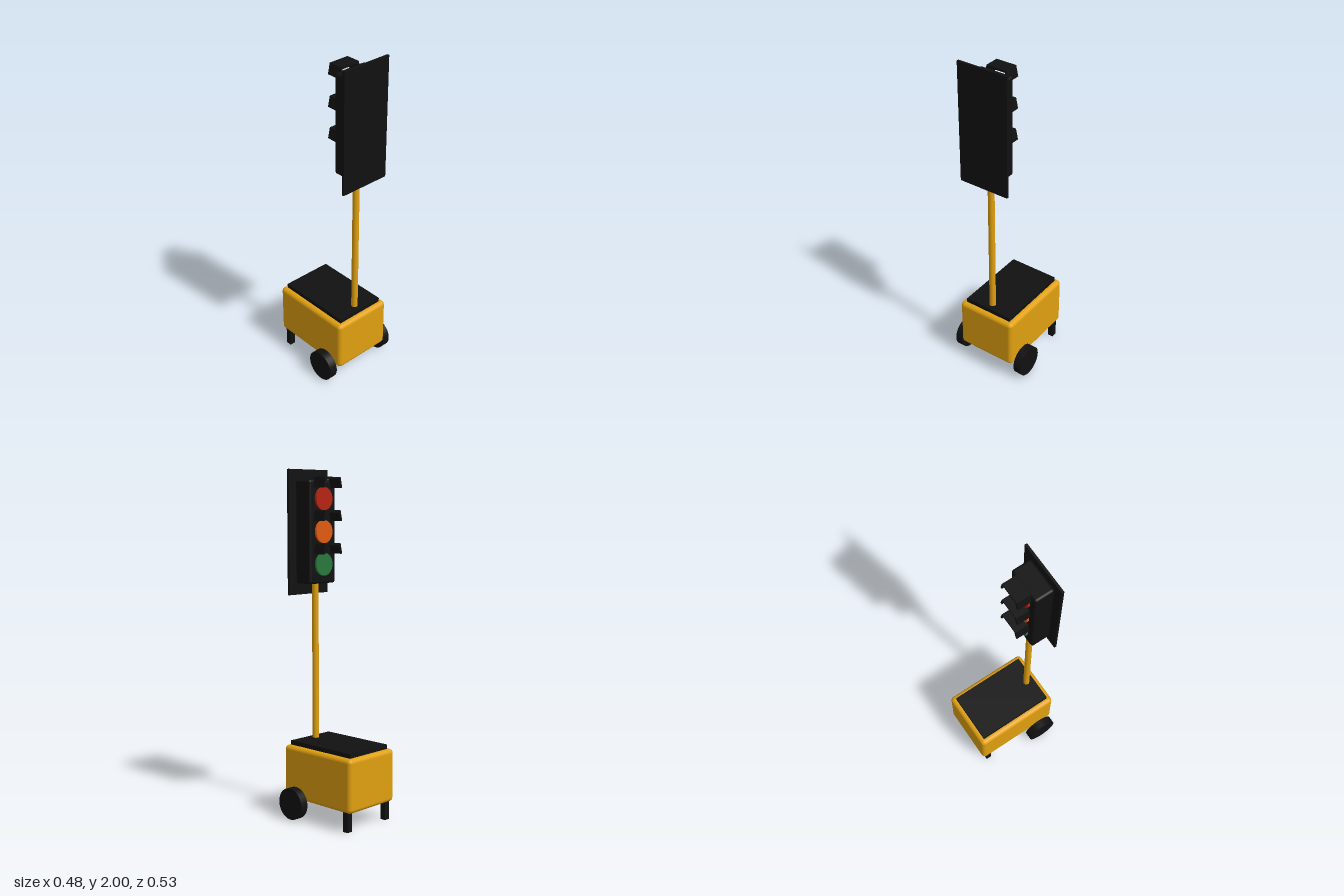
import * as THREE from 'three';
import { RoundedBoxGeometry } from 'three/addons/geometries/RoundedBoxGeometry.js';

const mat = (name, color) => {
  const m = new THREE.MeshStandardMaterial({ color });
  m.name = name;
  return m;
};

export function createModel() {
  const yellow = mat('yellow paint', 0xe0a010);
  const black = mat('black', 0x111111);
  const red = mat('red lens', 0xb62412);
  const amber = mat('amber lens', 0xe25a12);
  const green = mat('green lens', 0x26783c);

  const model = new THREE.Group();
  model.name = 'portableTrafficLight';
  const add = (name, geometry, material, x, y, z) => {
    const mesh = new THREE.Mesh(geometry, material);
    mesh.name = name;
    mesh.position.set(x, y, z);
    model.add(mesh);
    return mesh;
  };

  // Trailer box with lid
  add('body', new RoundedBoxGeometry(0.372, 0.31, 0.527, 4, 0.025), yellow, 0, 0.265, 0);
  add('lid', new THREE.BoxGeometry(0.31, 0.03, 0.47), black, 0, 0.43, 0);

  // Wheels and support legs
  const wheel = new THREE.CylinderGeometry(0.092, 0.092, 0.049, 32).rotateZ(Math.PI / 2);
  const leg = new THREE.BoxGeometry(0.035, 0.13, 0.035);
  for (const side of [-1, 1]) {
    add('wheel', wheel, black, side * 0.2175, 0.097, 0.155);
    add('leg', leg, black, side * 0.157, 0.065, -0.217);
  }
  // Axle, tucked inside the body
  add('axle', new THREE.CylinderGeometry(0.012, 0.012, 0.4, 12).rotateZ(Math.PI / 2), black, 0, 0.125, 0.155);

  // Mast
  add('mast', new THREE.CylinderGeometry(0.019, 0.019, 0.96, 16), yellow, 0, 0.9, 0.188);

  // Signal head and backboard
  add('backboard', new THREE.BoxGeometry(0.31, 0.71, 0.014), black, 0, 1.645, 0.247);
  add('signalHead', new RoundedBoxGeometry(0.208, 0.585, 0.117, 3, 0.015), black, 0, 1.6475, 0.1835);

  // Hollow hood, open at the bottom and towards the road
  const arch = new THREE.Shape([
    [-0.075, 0], [-0.063, 0], [-0.052, 0.048], [0.052, 0.048],
    [0.063, 0], [0.075, 0], [0.062, 0.06], [-0.062, 0.06],
  ].map(([x, y]) => new THREE.Vector2(x, y)));
  const hood = new THREE.ExtrudeGeometry(arch, { depth: 0.085, bevelEnabled: false });

  // Three lamps, each under its hood
  const lens = new THREE.CylinderGeometry(0.065, 0.065, 0.016, 32).rotateX(Math.PI / 2);
  [['greenLamp', green], ['amberLamp', amber], ['redLamp', red]].forEach(([name, material], i) => {
    const y = 1.465 + i * 0.185;
    add(name, lens, material, 0, y, 0.12);
    add('hood', hood, black, 0, y + 0.06, 0.045);
  });

  return model;
}
